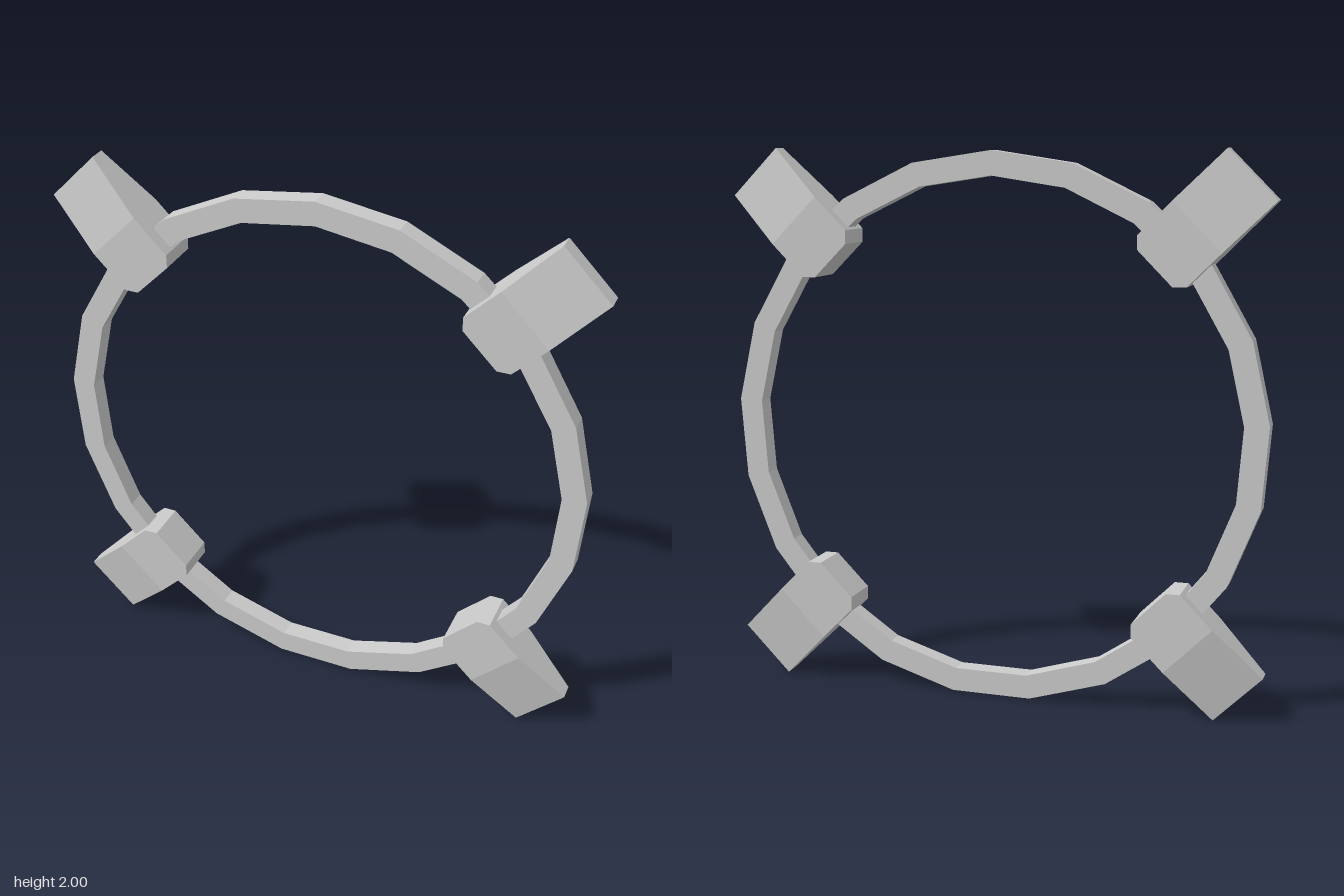
import * as THREE from 'three';
import { ConvexGeometry } from 'three/addons/geometries/ConvexGeometry.js';

const material = new THREE.MeshStandardMaterial({ color: 0xcccccc, flatShading: true });

// Corners of a regular polygon with one corner at the top
function polygon(radius, sides) {
  return Array.from({ length: sides }, (_, i) => {
    const a = Math.PI / 2 + (i * 2 * Math.PI) / sides;
    return new THREE.Vector2(radius * Math.cos(a), radius * Math.sin(a));
  });
}

// 21-sided flat ring with a rectangular section
function makeRing() {
  const shape = new THREE.Shape(polygon(1, 21));
  shape.holes.push(new THREE.Path(polygon(0.912, 21)));
  const geometry = new THREE.ExtrudeGeometry(shape, { depth: 0.07, bevelEnabled: false });
  geometry.translate(0, 0, -0.035);
  const ring = new THREE.Mesh(geometry, material);
  ring.name = 'ring';
  ring.position.y = 0.991;
  return ring;
}

// Grip block pointing along +x: chamfered inner end, outer end tapered to a thin edge
function makeBlockGeometry() {
  // [distance from ring centre, half width, half thickness]
  const sections = [
    [0.846, 0.087, 0.08],
    [0.881, 0.122, 0.08],
    [1.047, 0.122, 0.08],
    [1.293, 0.122, 0.03],
  ];
  const points = [];
  for (const [u, w, t] of sections)
    for (const sv of [-1, 1])
      for (const sz of [-1, 1]) points.push(new THREE.Vector3(u, sv * w, sz * t));
  return new ConvexGeometry(points);
}

export function createModel() {
  const model = new THREE.Group();
  model.name = 'ringWithBlocks';
  model.add(makeRing());

  // Four blocks on the diagonals
  const blockGeometry = makeBlockGeometry();
  ['upperLeftBlock', 'upperRightBlock', 'lowerRightBlock', 'lowerLeftBlock'].forEach((name, i) => {
    const block = new THREE.Mesh(blockGeometry, material);
    block.name = name;
    block.position.y = 0.998;
    block.rotation.z = Math.PI / 4 + (i * Math.PI) / 2;
    model.add(block);
  });
  return model;
}
